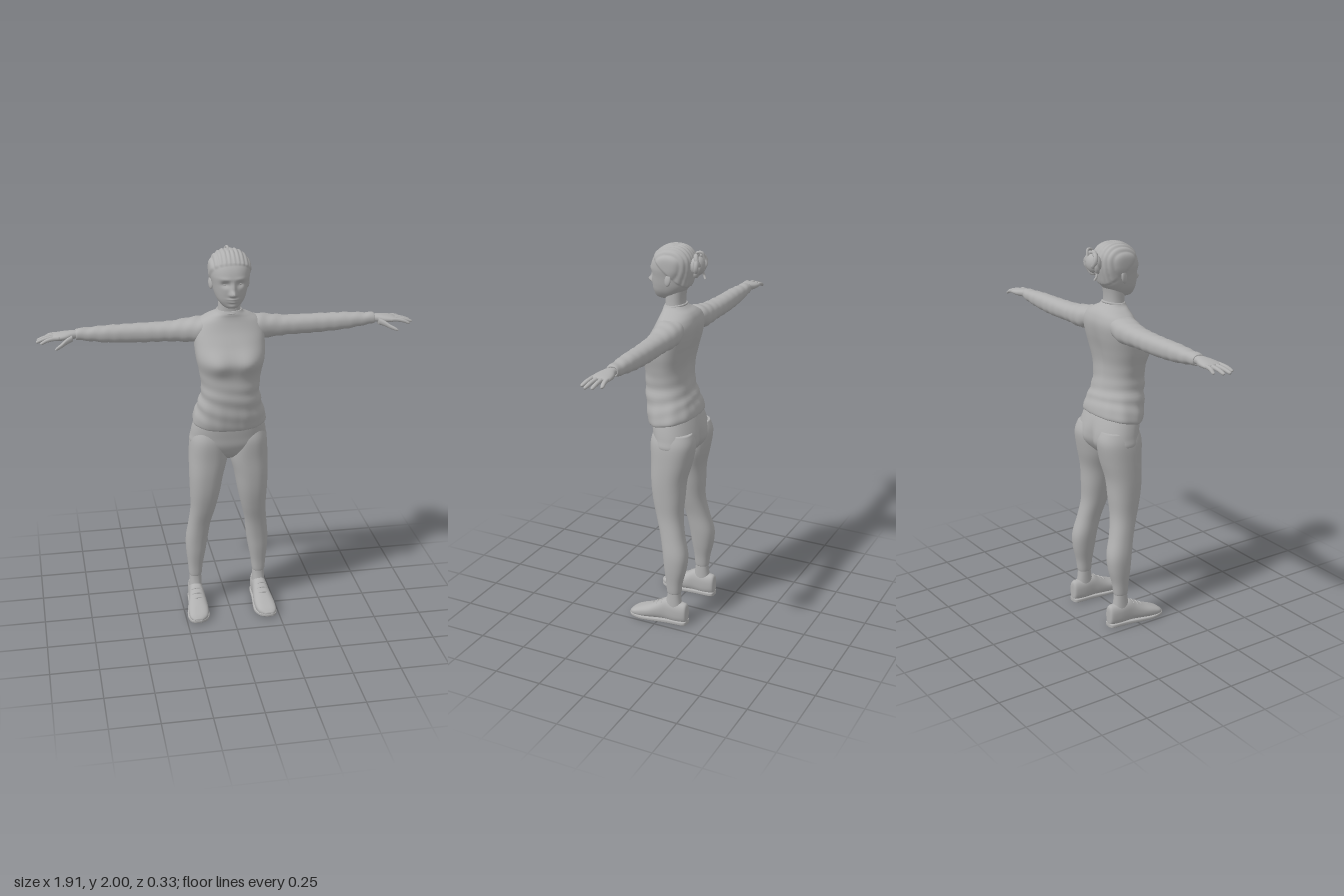
import * as THREE from 'three';

const mat = new THREE.MeshStandardMaterial({ color: 0xb0b0b0 });
mat.name = 'clay grey';

const V = (x, y, z) => new THREE.Vector3(x, y, z);
const upright = (t, u, v) => V(u, t, v);                    // rows: y, x0, x1, z0, z1
const bump = (a, ra, b, rb) => Math.exp(-((a / ra) ** 2) - (b / rb) ** 2);
const step = THREE.MathUtils.smoothstep;

// Smooth closed loft through rows [t, u0, u1, v0, v1, roundness]
function loft(rows, place, { seg = 32, sub = 5, warp } = {}) {
  const pos = [], idx = [], n = (rows.length - 1) * sub + 1;
  const row = (i) => rows[Math.min(rows.length - 1, Math.max(0, i))];
  const spline = (k, i, f) => {
    const [a, b, c, d] = [-1, 0, 1, 2].map((o) => row(i + o)[k] ?? 2.3);
    return b + 0.5 * f * (c - a + f * (2 * a - 5 * b + 4 * c - d + f * (3 * (b - c) + d - a)));
  };
  const add = (p) => { if (warp) warp(p); pos.push(p.x, p.y, p.z); };
  const ends = [];
  for (let r = 0; r < n; r++) {
    const i = Math.min(Math.floor(r / sub), rows.length - 2), f = r / sub - i;
    const [t, u0, u1, v0, v1, e] = [0, 1, 2, 3, 4, 5].map((k) => spline(k, i, f));
    const cu = (u0 + u1) / 2, cv = (v0 + v1) / 2;
    if (r === 0 || r === n - 1) ends.push(place(t, cu, cv));
    for (let s = 0; s < seg; s++) {
      const a = (s / seg) * Math.PI * 2, c = Math.cos(a), q = Math.sin(a);
      add(place(t, cu + (u1 - u0) / 2 * Math.sign(c) * Math.abs(c) ** (2 / e),
        cv + (v1 - v0) / 2 * Math.sign(q) * Math.abs(q) ** (2 / e)));
    }
  }
  ends.forEach(add);
  for (let s = 0; s < seg; s++) {
    const s1 = (s + 1) % seg, last = (n - 1) * seg;
    for (let r = 0; r < n - 1; r++) {
      const a = r * seg + s, b = r * seg + s1;
      idx.push(a, b, b + seg, a, b + seg, a + seg);
    }
    idx.push(n * seg, s1, s, n * seg + 1, last + s, last + s1);
  }
  // Turn the faces outward by checking the enclosed volume
  let vol = 0;
  const at = (i) => V(pos[i * 3], pos[i * 3 + 1], pos[i * 3 + 2]);
  for (let i = 0; i < idx.length; i += 3) vol += at(idx[i]).dot(at(idx[i + 1]).cross(at(idx[i + 2])));
  if (vol < 0) idx.reverse();
  const g = new THREE.BufferGeometry();
  g.setAttribute('position', new THREE.Float32BufferAttribute(pos, 3));
  g.setIndex(idx);
  g.computeVertexNormals();
  return g;
}

export function createModel() {
  const model = new THREE.Group();
  const mesh = (name, geo, parent = model) => {
    const m = new THREE.Mesh(geo, mat);
    m.name = name;
    parent.add(m);
    return m;
  };
  const ball = (name, r, p, s = [1, 1, 1]) => {
    const m = mesh(name, new THREE.SphereGeometry(r, 20, 14));
    m.position.set(...p);
    m.scale.set(...s);
    return m;
  };
  const tube = (name, pts, r) => mesh(name, new THREE.TubeGeometry(
    new THREE.CatmullRomCurve3(pts.map((p) => V(...p))), 14, r, 8));

  // Sweater with bust, waist folds and a hem that rises at the back
  mesh('sweater', loft([
    [1.11, -0.165, 0.165, -0.11, 0.08], [1.1, -0.183, 0.183, -0.13, 0.1],
    [1.125, -0.188, 0.188, -0.132, 0.113], [1.2, -0.167, 0.167, -0.112, 0.13],
    [1.29, -0.147, 0.147, -0.09, 0.14], [1.38, -0.156, 0.156, -0.086, 0.138],
    [1.46, -0.172, 0.172, -0.098, 0.142, 2.5], [1.54, -0.178, 0.178, -0.117, 0.108, 2.5],
    [1.6, -0.178, 0.178, -0.125, 0.076, 2.4], [1.64, -0.155, 0.155, -0.117, 0.06],
    [1.667, -0.11, 0.11, -0.1, 0.053], [1.685, -0.075, 0.075, -0.075, 0.052],
    [1.7, -0.062, 0.062, -0.058, 0.046],
  ], upright, {
    seg: 64, sub: 7, warp: (p) => {
      const low = 1 - step(p.y, 1.14, 1.28), mid = bump(p.y - 1.24, 0.09, 0, 1);
      const fold = 1 + 0.022 * mid * Math.sin(p.y * 85 + p.x * 14 + p.z * 10)
        + 0.012 * low * Math.sin(Math.atan2(p.z, p.x) * 13);
      p.x *= fold;
      p.z *= fold;
      if (p.z > 0) p.z += 0.026 * (bump(p.x - 0.075, 0.065, p.y - 1.455, 0.06) + bump(p.x + 0.075, 0.065, p.y - 1.455, 0.06));
      else p.z += 0.012 * bump(p.x, 0.03, p.y - 1.42, 0.16);
      p.y -= 0.2 * p.z * low;
    },
  }));
  const collar = mesh('collar', new THREE.TorusGeometry(0.059, 0.006, 8, 40));
  collar.position.set(0, 1.695, -0.006);
  collar.rotation.x = Math.PI / 2 + 0.15;
  collar.scale.y = 0.92;

  // Neck
  mesh('neck', loft([
    [1.65, -0.065, 0.065, -0.065, 0.045], [1.7, -0.057, 0.057, -0.053, 0.044],
    [1.75, -0.055, 0.055, -0.055, 0.045], [1.8, -0.055, 0.055, -0.065, 0.04],
  ], upright));

  // Head: face features and braided rows are pushed out of one loft
  mesh('head', loft([
    [1.725, -0.022, 0.022, 0.01, 0.078], [1.735, -0.042, 0.042, -0.02, 0.096],
    [1.765, -0.066, 0.066, -0.05, 0.108], [1.8, -0.08, 0.08, -0.08, 0.114],
    [1.845, -0.09, 0.09, -0.094, 0.117], [1.89, -0.099, 0.099, -0.102, 0.118],
    [1.935, -0.097, 0.097, -0.1, 0.103], [1.97, -0.075, 0.075, -0.08, 0.072],
    [1.991, -0.043, 0.043, -0.05, 0.036], [1.997, -0.008, 0.008, -0.012, 0.002],
  ], upright, {
    seg: 96, sub: 9, warp: (p) => {
      const ax = Math.abs(p.x);
      if (p.z > 0.03) {
        p.z += 0.029 * bump(p.x, 0.013, p.y - 1.81, 0.015) + 0.014 * bump(p.x, 0.011, p.y - 1.838, 0.024)
          + 0.007 * bump(ax - 0.012, 0.009, p.y - 1.803, 0.008)
          + 0.009 * bump(p.x, 0.024, p.y - 1.78, 0.006) + 0.009 * bump(p.x, 0.02, p.y - 1.767, 0.006)
          + 0.007 * bump(p.x, 0.022, p.y - 1.742, 0.012) + 0.004 * bump(ax - 0.035, 0.03, p.y - 1.882, 0.009)
          - 0.013 * bump(ax - 0.036, 0.02, p.y - 1.855, 0.014);
      }
      const hair = step(p.y - 0.9 * p.z, 1.86, 1.872);
      const d = hair * (0.001 + 0.005 * Math.abs(Math.sin(p.x * 150)));
      const out = V(p.x, p.y - 1.88, p.z).normalize();
      p.addScaledVector(out, d);
      p.y = Math.min(p.y, 2);
    },
  }));

  // Bun of coiled braids
  ball('bunCore', 0.042, [0, 1.905, -0.122], [1.15, 1.15, 0.85]);
  for (let i = 0; i < 5; i++) {
    const a = i * Math.PI * 0.4;
    const coil = mesh('bunBraid', new THREE.TorusGeometry(0.028, 0.012, 8, 24));
    coil.position.set(0.024 * Math.cos(a), 1.907 + 0.026 * Math.sin(a), -0.126 - 0.004 * (i % 3));
    coil.rotation.set(0.4 * Math.sin(a), 0.4 * Math.cos(a), 0);
  }
  tube('looseBraid', [[0.01, 1.94, -0.12], [0.015, 1.972, -0.125], [0.01, 1.975, -0.15], [0, 1.945, -0.16]], 0.007);
  tube('looseBraid', [[-0.03, 1.88, -0.13], [-0.045, 1.85, -0.135], [-0.04, 1.83, -0.145]], 0.006);

  // Trousers: hips
  mesh('hips', loft([
    [1.15, -0.165, 0.165, -0.115, 0.09], [1.09, -0.184, 0.184, -0.138, 0.09],
    [1.03, -0.196, 0.196, -0.154, 0.082], [0.98, -0.198, 0.198, -0.152, 0.074],
    [0.93, -0.13, 0.13, -0.115, 0.05], [0.895, -0.04, 0.04, -0.07, 0.015],
  ], upright, {
    seg: 64, warp: (p) => {
      if (p.z < 0) p.z += 0.022 * bump(p.x, 0.022, p.y - 0.99, 0.07);
    },
  }));

  for (const s of [1, -1]) {
    const side = s > 0 ? 'left' : 'right';
    const name = (part) => side + part;
    const standing = (t, u, v) => V(s * u, t, v);           // rows: y, x0, x1, z0, z1
    const reaching = (t, u, v) => V(s * t, u, v);           // rows: x, y0, y1, z0, z1
    const forward = (t, u, v) => V(s * u, v, t);            // rows: z, x0, x1, y0, y1

    // Face details
    ball(name('Eye'), 0.0135, [s * 0.036, 1.855, 0.088], [1.2, 0.8, 1]);
    const ear = ball(name('Ear'), 0.03, [s * 0.092, 1.838, -0.004], [0.3, 1.05, 0.65]);
    ear.rotation.set(-0.2, s * -0.35, 0);

    // Sleeve
    mesh(name('Sleeve'), loft([
      [0.09, 1.56, 1.655, -0.1, 0.035], [0.15, 1.535, 1.652, -0.113, 0.038],
      [0.21, 1.53, 1.644, -0.113, 0.022], [0.3, 1.535, 1.632, -0.107, 0.006],
      [0.45, 1.535, 1.629, -0.106, -0.008], [0.6, 1.543, 1.627, -0.102, -0.012],
      [0.7, 1.557, 1.621, -0.096, -0.02], [0.755, 1.565, 1.619, -0.09, -0.025],
      [0.757, 1.573, 1.611, -0.083, -0.034],
    ], reaching, { warp: (p) => { p.y += 0.002 * Math.sin(p.x * 90 + p.z * 40); } }));

    // Hand: palm, four fingers and thumb
    mesh(name('Palm'), loft([
      [0.73, 1.573, 1.61, -0.083, -0.033], [0.77, 1.572, 1.612, -0.084, -0.026],
      [0.81, 1.57, 1.609, -0.097, -0.01], [0.85, 1.573, 1.603, -0.1, -0.004],
      [0.872, 1.578, 1.596, -0.096, -0.008],
    ], reaching));
    [[-0.014, 0.935, -0.001], [-0.039, 0.955, -0.028], [-0.064, 0.95, -0.06], [-0.088, 0.918, -0.091]]
      .forEach(([z, x, tipZ]) => {
        const w = 0.0105;
        mesh(name('Finger'), loft([
          [0.84, 1.58, 1.598, z - w, z + w], [0.87, 1.578, 1.598, z - w, z + w],
          [(0.87 + x) / 2, 1.574, 1.592, (z + tipZ) / 2 - w, (z + tipZ) / 2 + w],
          [x - 0.008, 1.566, 1.581, tipZ - 0.0085, tipZ + 0.0085], [x, 1.571, 1.575, tipZ - 0.003, tipZ + 0.003],
        ], reaching, { seg: 12, sub: 4 }));
      });
    mesh(name('Thumb'), loft([
      [0.775, 1.565, 1.6, -0.05, -0.012], [0.805, 1.558, 1.588, -0.03, 0.004],
      [0.83, 1.55, 1.572, -0.004, 0.022], [0.855, 1.543, 1.56, 0.016, 0.035],
      [0.866, 1.545, 1.551, 0.029, 0.036],
    ], reaching, { seg: 14, sub: 4 }));

    // Trouser leg
    mesh(name('Leg'), loft([
      [1.06, 0.03, 0.18, -0.14, 0.06], [1.0, 0.008, 0.2, -0.158, 0.075],
      [0.9, 0.006, 0.206, -0.142, 0.07], [0.8, 0.03, 0.207, -0.118, 0.066],
      [0.7, 0.048, 0.204, -0.111, 0.055], [0.6, 0.07, 0.201, -0.107, 0.032],
      [0.5, 0.094, 0.21, -0.124, 0.003], [0.4, 0.106, 0.222, -0.149, -0.016],
      [0.32, 0.118, 0.221, -0.145, -0.026], [0.24, 0.133, 0.213, -0.126, -0.038],
      [0.18, 0.14, 0.208, -0.118, -0.043], [0.176, 0.146, 0.202, -0.112, -0.049],
    ], standing, { seg: 40 }));
    mesh(name('Ankle'), loft([
      [0.2, 0.144, 0.204, -0.113, -0.047], [0.15, 0.142, 0.206, -0.117, -0.043],
      [0.09, 0.14, 0.21, -0.125, -0.03],
    ], standing));

    // Shoe with sole and laces
    mesh(name('Shoe'), loft([
      [-0.157, 0.16, 0.19, 0.025, 0.09], [-0.148, 0.144, 0.205, 0.008, 0.118],
      [-0.1, 0.136, 0.213, 0.004, 0.122, 2.6], [-0.04, 0.135, 0.216, 0.004, 0.132, 2.4],
      [0, 0.131, 0.222, 0.004, 0.111], [0.05, 0.127, 0.232, 0.004, 0.083],
      [0.1, 0.129, 0.236, 0.004, 0.063, 2.6], [0.14, 0.142, 0.232, 0.008, 0.046, 2.6],
      [0.162, 0.172, 0.213, 0.015, 0.03],
    ], forward, { seg: 36 }));
    mesh(name('Sole'), loft([
      [-0.157, 0.155, 0.194, 0, 0.02, 5], [-0.14, 0.138, 0.21, 0, 0.022, 5],
      [-0.05, 0.133, 0.219, 0, 0.022, 5], [0.05, 0.123, 0.237, 0, 0.02, 5],
      [0.1, 0.124, 0.241, 0, 0.02, 5], [0.145, 0.144, 0.232, 0.003, 0.022, 5],
      [0.165, 0.178, 0.212, 0.008, 0.022, 5],
    ], forward, { seg: 36 }));
    [[-0.012, 0.119], [0.014, 0.105], [0.04, 0.09]].forEach(([z, y]) => tube(name('Lace'),
      [[s * 0.15, y - 0.01, z - 0.004], [s * 0.178, y, z], [s * 0.206, y - 0.01, z - 0.004]], 0.004));
  }
  return model;
}
